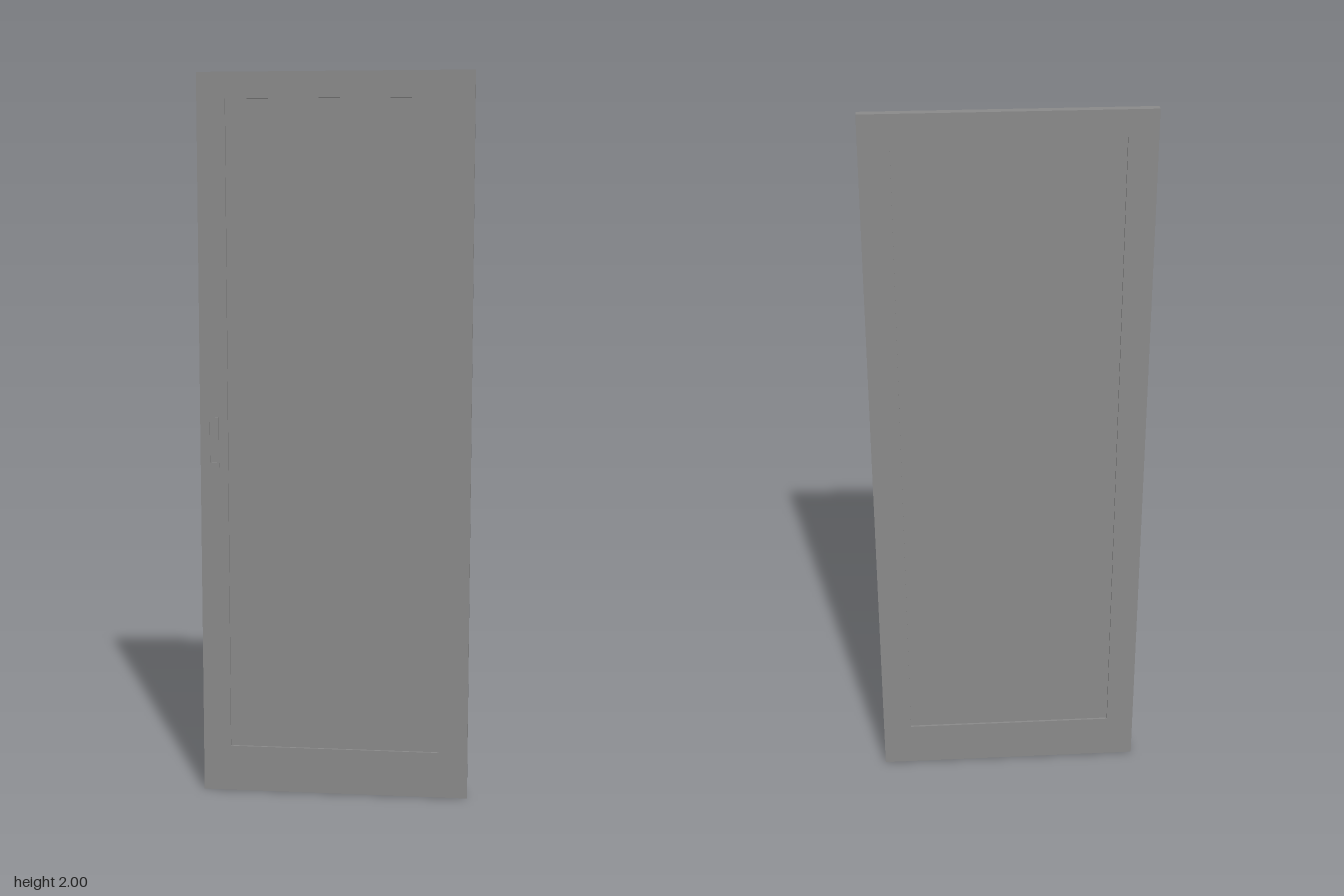
import * as THREE from 'three';

const BACK = -0.0135, FACE = 0.0095; // door faces in z

// Clockwise or counter-clockwise rectangle outline
function rect(PathType, x0, x1, y0, y1) {
  const p = new PathType();
  p.moveTo(x0, y0);
  p.lineTo(x1, y0);
  p.lineTo(x1, y1);
  p.lineTo(x0, y1);
  p.closePath();
  return p;
}

// Rectangular ring extruded from z0 to z1
function ring(name, outer, inner, z0, z1, material) {
  const shape = rect(THREE.Shape, ...outer);
  shape.holes.push(rect(THREE.Path, ...inner));
  const geometry = new THREE.ExtrudeGeometry(shape, { depth: z1 - z0, bevelEnabled: false });
  geometry.translate(0, 0, z0);
  const mesh = new THREE.Mesh(geometry, material);
  mesh.name = name;
  return mesh;
}

export function createModel() {
  const model = new THREE.Group();
  model.name = 'door';
  const grey = new THREE.MeshStandardMaterial({ color: 0x8a8a8a });
  grey.name = 'grey';

  // Outer frame: wider rail at the bottom
  const opening = [-0.296, 0.293, 0.13, 1.93];
  model.add(ring('frame', [-0.373, 0.373, 0, 2], opening, BACK, FACE, grey));

  // Inset panel, set back from both faces
  const inset = 0.006;
  const [x0, x1, y0, y1] = opening;
  const panel = new THREE.Mesh(
    new THREE.BoxGeometry(x1 - x0, y1 - y0, FACE - BACK - 2 * inset), grey);
  panel.position.set((x0 + x1) / 2, (y0 + y1) / 2, (FACE + BACK) / 2);
  panel.name = 'panel';
  model.add(panel);

  // Flush pull: thin raised rim around a shallow slot
  model.add(ring('pullHandle', [-0.352, -0.321, 0.93, 1.07],
    [-0.346, -0.327, 0.943, 1.057], FACE - 0.001, 0.0135, grey));

  return model;
}
